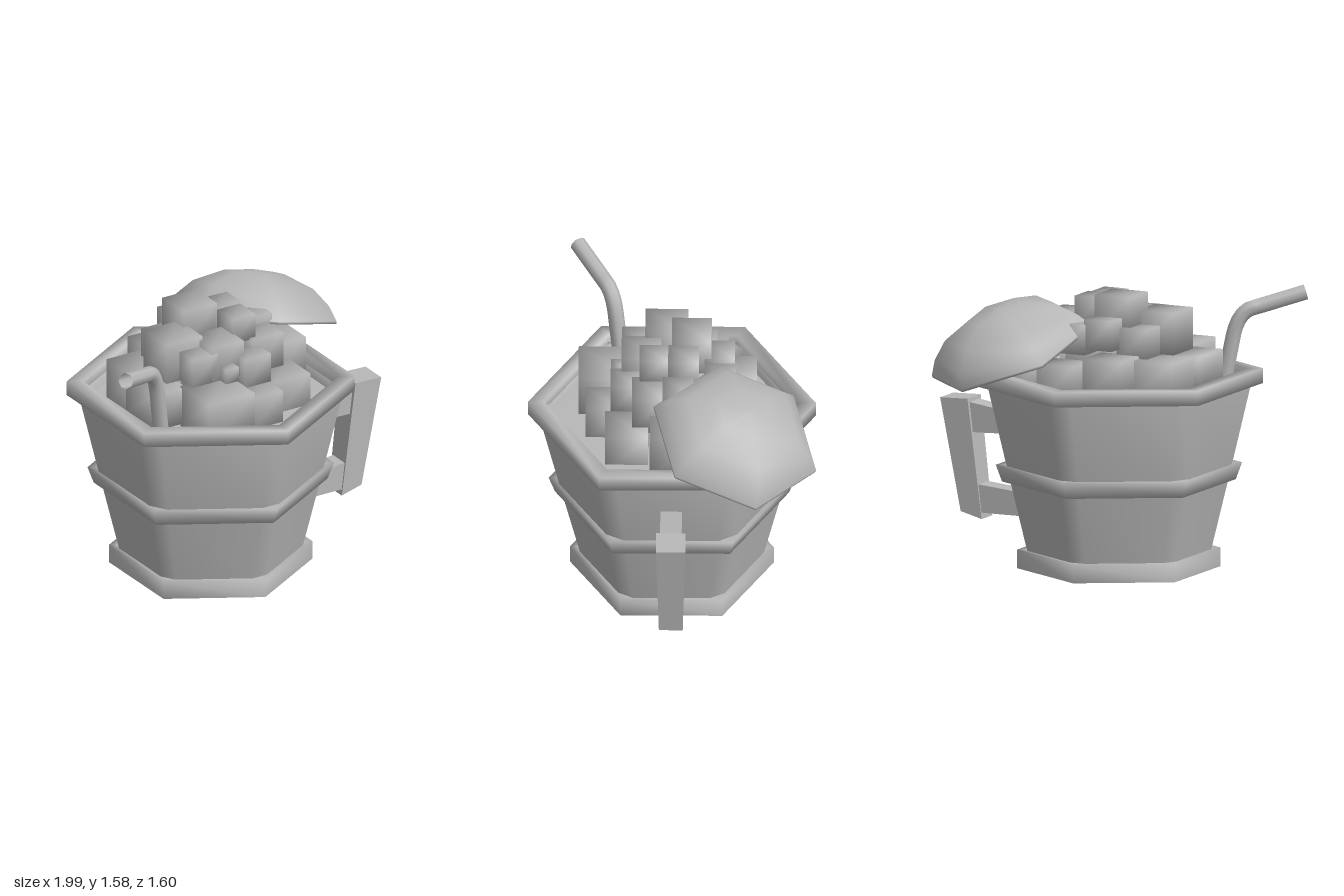
import * as THREE from 'three';
import { mergeVertices } from 'three/addons/utils/BufferGeometryUtils.js';

const grey = new THREE.MeshStandardMaterial({ color: 0xb8b8b8, side: THREE.DoubleSide });
grey.name = 'plain grey';

const V = (x, y, z) => new THREE.Vector3(x, y, z);

// Closed ring of spokes swept through [scale, height] pairs along an axis
function loft(spokes, profile, axis = V(0, 1, 0)) {
  const n = spokes.length, pos = [], idx = [];
  for (const [s, h] of profile)
    for (const p of spokes) pos.push(...p.clone().multiplyScalar(s).addScaledVector(axis, h).toArray());
  for (let j = 0; j < profile.length - 1; j++)
    for (let i = 0; i < n; i++) {
      const a = j * n + i, b = j * n + (i + 1) % n;
      idx.push(a, b, a + n, b, b + n, a + n);
    }
  const g = new THREE.BufferGeometry();
  g.setAttribute('position', new THREE.Float32BufferAttribute(pos, 3));
  g.setIndex(idx);
  g.computeVertexNormals();
  return g;
}

// Box with shared corners, so it shades softly
function softBox(w, h, d) {
  const g = new THREE.BoxGeometry(w, h, d);
  g.deleteAttribute('normal');
  g.deleteAttribute('uv');
  const m = mergeVertices(g);
  m.computeVertexNormals();
  return m;
}

function add(parent, name, geometry) {
  const m = new THREE.Mesh(geometry, grey);
  m.name = name;
  parent.add(m);
  return m;
}

export function createModel() {
  const model = new THREE.Group();
  model.name = 'mug';

  // Hexagon with corners on the z axis, and one with trimmed corners
  const hex = [], trimmed = [];
  for (let i = 0; i < 6; i++) {
    const t = i * Math.PI / 3;
    const corner = V(Math.sin(t), 0, Math.cos(t));
    const along = k => V(Math.sin(t + k * Math.PI / 3), 0, Math.cos(t + k * Math.PI / 3));
    hex.push(corner);
    trimmed.push(corner.clone().lerp(along(-1), 0.1), corner.clone().lerp(along(1), 0.1));
  }

  // Cup
  const cup = new THREE.Group();
  cup.name = 'cup';
  cup.position.x = -0.07;
  model.add(cup);
  add(cup, 'body', loft(trimmed, [[0.537, 0.1], [0.65, 0.55], [0.775, 1.06], [0.72, 1.06], [0.7, 0.98]]));
  add(cup, 'base', loft(hex, [[0, 0], [0.566, 0], [0.566, 0], [0.566, 0.105], [0.52, 0.105], [0, 0.105]]));
  add(cup, 'middleBand', loft(hex, [[0.58, 0.49], [0.65, 0.49], [0.685, 0.585], [0.62, 0.585]]));
  add(cup, 'rim', loft(hex, [[0.72, 1.03], [0.8, 1.03], [0.8, 1.115], [0.71, 1.115], [0.72, 1.03]]));
  add(cup, 'filling', loft(trimmed, [[0.715, 1.0], [0, 1.0]]));

  // Handle: two arms and a slanted grip
  const handle = new THREE.Group();
  handle.name = 'handle';
  model.add(handle);
  const bar = (name, pts, width) => {
    const shape = new THREE.Shape(pts.map(p => new THREE.Vector2(...p)));
    const g = new THREE.ExtrudeGeometry(shape, { depth: width, bevelEnabled: false });
    g.translate(0, 0, -width / 2);
    return add(handle, name, g);
  };
  bar('upperArm', [[0.5, 0.71], [0.81, 0.7], [0.84, 0.87], [0.5, 0.82]], 0.12);
  bar('lowerArm', [[0.38, 0.25], [0.77, 0.25], [0.79, 0.41], [0.38, 0.37]], 0.12);
  const grip = bar('grip', [[0.75, 0.215], [0.88, 0.25], [1.0, 0.885], [0.83, 0.89]], 0.16).geometry;
  const gp = grip.attributes.position;
  for (let i = 0; i < gp.count; i++) gp.setZ(i, gp.getZ(i) * (gp.getY(i) < 0.5 ? 0.83 : 1.02));
  grip.computeVertexNormals();

  // Ice cubes: x from, x to, z from, z to, top
  const ice = new THREE.Group();
  ice.name = 'iceCubes';
  model.add(ice);
  const cubes = [
    [-0.32, -0.08, -0.47, -0.23, 1.25], [-0.56, -0.26, -0.31, -0.01, 1.235],
    [-0.37, -0.18, -0.25, -0.07, 1.4], [-0.20, -0.03, -0.35, -0.18, 1.45],
    [-0.25, -0.03, -0.22, 0.0, 1.57], [-0.04, 0.13, -0.15, 0.02, 1.54],
    [-0.04, 0.11, 0.02, 0.18, 1.54], [-0.455, -0.22, -0.09, 0.15, 1.475],
    [-0.06, 0.11, 0.18, 0.34, 1.36], [-0.37, -0.20, 0.12, 0.28, 1.415],
    [-0.185, -0.10, 0.26, 0.34, 1.33], [0.07, 0.27, 0.03, 0.22, 1.4],
    [-0.41, -0.11, 0.22, 0.52, 1.245], [-0.11, 0.10, 0.27, 0.48, 1.19],
    [0.11, 0.35, 0.13, 0.37, 1.19], [-0.595, -0.38, -0.05, 0.24, 1.235],
    [0.18, 0.48, -0.18, 0.12, 1.28], [-0.24, -0.03, 0.06, 0.28, 1.45],
    [0.13, 0.30, -0.12, 0.05, 1.445], [-0.04, 0.13, -0.36, -0.18, 1.42],
    [-0.03, 0.2, -0.48, -0.26, 1.2], [0.2, 0.44, -0.44, -0.19, 1.2],
    [-0.25, 0.15, -0.22, 0.2, 1.33],
  ];
  for (const [x0, x1, z0, z1, top] of cubes) {
    const h = Math.min(x1 - x0, 0.26);
    add(ice, 'iceCube', softBox(x1 - x0, h, z1 - z0))
      .position.set((x0 + x1) / 2, top - h / 2, (z0 + z1) / 2);
  }

  // Bent drinking straw
  const path = new THREE.CurvePath();
  const bend = [V(-0.622, 1.3, 0.315), V(-0.65, 1.45, 0.33), V(-0.73, 1.46, 0.38)];
  path.add(new THREE.LineCurve3(V(-0.57, 0.98, 0.28), bend[0]));
  path.add(new THREE.QuadraticBezierCurve3(...bend));
  path.add(new THREE.LineCurve3(bend[2], V(-0.965, 1.54, 0.53)));
  add(model, 'straw', new THREE.TubeGeometry(path, 20, 0.045, 8));

  // Tilted dome lid: hexagonal shell
  const lidCentre = V(0.415, 1.2275, -0.35);
  const half = [V(0.33, 1.385, 0.1), V(0.77, 1.23, -0.02), V(0.85, 1.07, -0.47)].map(p => p.sub(lidCentre));
  const lidSpokes = [...half, ...half.map(p => p.clone().negate())];
  const lidAxis = V(0.28, 1, -0.297).normalize();
  const lid = add(model, 'lid', loft(lidSpokes, [
    [0.94, 0], [1, 0], [1, 0.015], [0.9, 0.095], [0.7, 0.185], [0.35, 0.255], [0, 0.27],
    [0, 0.25], [0.34, 0.235], [0.67, 0.165], [0.86, 0.085], [0.94, 0],
  ], lidAxis));
  lid.position.copy(lidCentre);

  return model;
}
